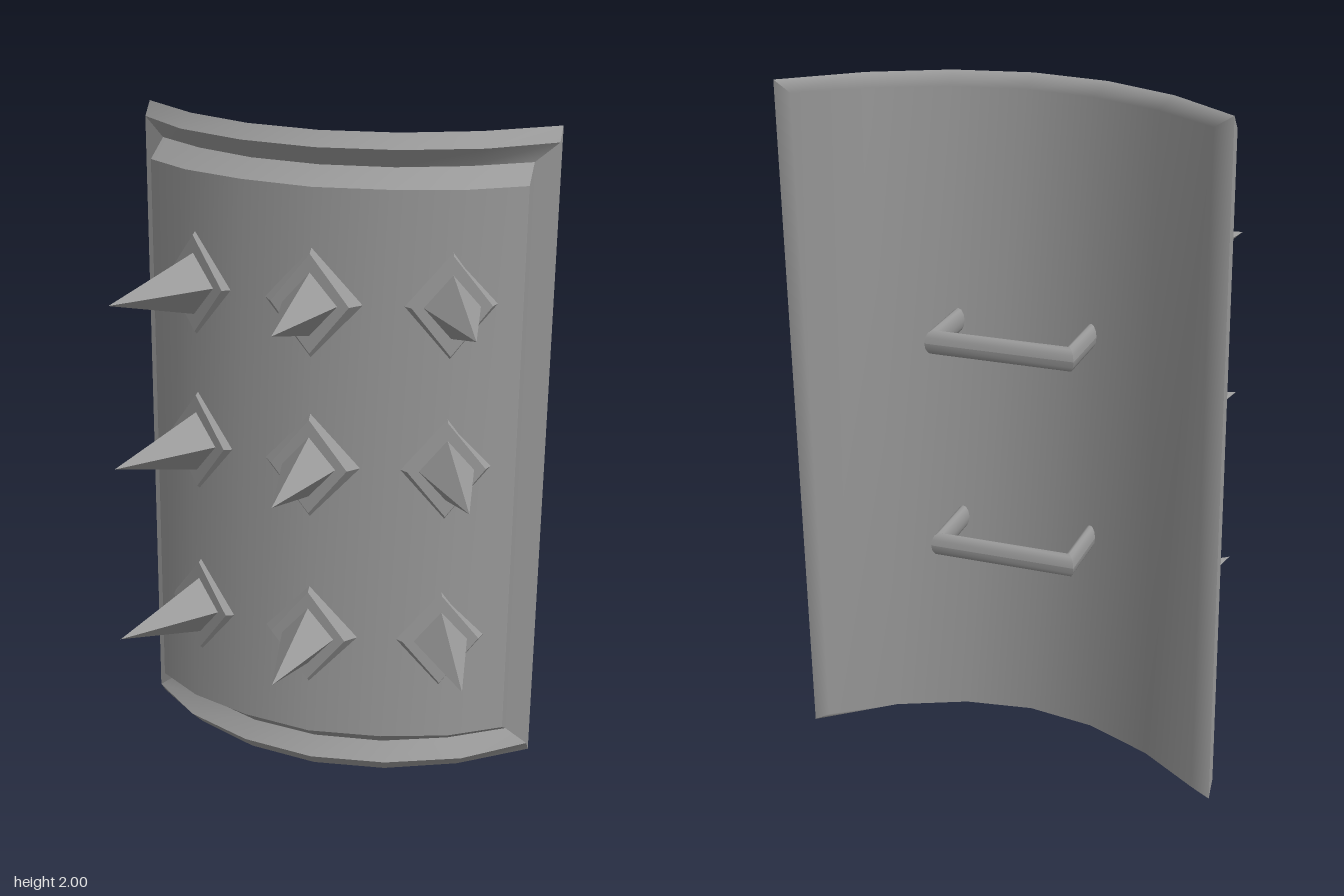
import * as THREE from 'three';

const mat = new THREE.MeshStandardMaterial({ color: 0x999999 });
const flat = new THREE.MeshStandardMaterial({ color: 0x999999, flatShading: true });

function add(parent, name, geometry, material) {
  const mesh = new THREE.Mesh(geometry, material);
  mesh.name = name;
  parent.add(mesh);
}

// Smooth surface through rows of points
function surface(...rows) {
  const n = rows[0].length, index = [];
  for (let r = 0; r < rows.length - 1; r++) {
    for (let i = 0; i < n - 1; i++) {
      const a = r * n + i, b = a + n;
      index.push(a, a + 1, b + 1, a, b + 1, b);
    }
  }
  const g = new THREE.BufferGeometry();
  g.setAttribute('position', new THREE.Float32BufferAttribute(rows.flat(2), 3));
  g.setIndex(index);
  g.computeVertexNormals();
  return g;
}

// Contours of the shield from back to front: half curve (x, z), bottom and top
const back = { half: [[0, -0.12], [0.2, -0.15], [0.4, -0.235], [0.575, -0.355]], y0: 0.035, y1: 1.965 };
const layers = [
  { half: [[0, -0.055], [0.22, -0.09], [0.43, -0.19], [0.625, -0.35]], y0: 0.004, y1: 1.996 },
  { half: [[0, -0.018], [0.23, -0.055], [0.45, -0.155], [0.625, -0.313]], y0: 0.045, y1: 1.955 },
  { half: [[0, -0.06], [0.21, -0.09], [0.4, -0.175], [0.56, -0.29]], y0: 0.1, y1: 1.9 },
  { half: [[0, 0.005], [0.22, -0.03], [0.415, -0.1], [0.565, -0.205]], y0: 0.15, y1: 1.85 },
];

function row(layer, y) {
  const right = layer.half.map(([x, z]) => [x, y, z]);
  const left = layer.half.slice(1).reverse().map(([x, z]) => [-x, y, z]);
  return [...left, ...right];
}

function makeShield() {
  const shield = new THREE.Group();
  shield.name = 'shield';
  const rim = layers[0], panel = layers[3];

  // Back, rounded over softly to the rim on all four sides
  const top = row(rim, rim.y1), bottom = row(rim, rim.y0);
  const framed = (edge, inner) => [edge[0], ...inner, edge[6]];
  add(shield, 'backSurface', surface(
    framed(top, top), framed(top, row(back, back.y1)),
    framed(bottom, row(back, back.y0)), framed(bottom, bottom)), mat);
  add(shield, 'frontPanel', surface(row(panel, panel.y0), row(panel, panel.y1)), mat);

  // Mitred frame bands between neighbouring contours
  ['rimChamfer', 'rimGroove', 'panelBevel'].forEach((name, k) => {
    const o = layers[k], i = layers[k + 1];
    const ob = row(o, o.y0), ot = row(o, o.y1), ib = row(i, i.y0), it = row(i, i.y1);
    add(shield, name + 'Top', surface(it, ot), mat);
    add(shield, name + 'Bottom', surface(ob, ib), mat);
    add(shield, name + 'Left', surface([ib[6], ob[6]], [it[6], ot[6]]), mat);
    add(shield, name + 'Right', surface([ob[0], ib[0]], [ot[0], it[0]]), mat);
  });
  return shield;
}

// Four-sided spike on a bevelled diamond plate
function makeStud() {
  const stud = new THREE.Group();
  stud.name = 'stud';
  const plate = new THREE.CylinderGeometry(0.122, 0.17, 0.06, 4).rotateX(Math.PI / 2);
  plate.scale(0.95, 1.19, 1).translate(0, 0, -0.03);
  add(stud, 'studPlate', plate, flat);
  const spike = new THREE.ConeGeometry(0.085, 0.335, 4).rotateX(Math.PI / 2);
  spike.scale(0.97, 1.1, 1).translate(0, 0, 0.1625);
  add(stud, 'spike', spike, flat);
  return stud;
}

// U-shaped grip with mitred corners: oval section swept along three legs
function makeHandle() {
  const handle = new THREE.Group();
  handle.name = 'handle';
  const rings = [[], [], [], []];
  for (let k = 0; k <= 12; k++) {
    const t = (k / 12) * Math.PI * 2;
    const u = 0.018 * Math.cos(t), v = 0.035 * Math.sin(t);
    rings[0].push([-0.197 - u, v, -0.1]);
    rings[1].push([-0.197 - u, v, -0.335 - u]);
    rings[2].push([0.197 + u, v, -0.335 - u]);
    rings[3].push([0.197 + u, v, -0.1]);
  }
  ['handleLegRight', 'handleBar', 'handleLegLeft'].forEach((name, i) =>
    add(handle, name, surface(rings[i], rings[i + 1]), mat));
  return handle;
}

export function createModel() {
  const model = new THREE.Group();
  model.name = 'spikedShield';
  const body = new THREE.Group();
  body.name = 'body';
  model.add(body);
  body.add(makeShield());

  // Three rows of three studs, the outer ones following the curve
  for (const y of [1.52, 1.03, 0.483]) {
    for (const side of [-1, 0, 1]) {
      const stud = makeStud();
      stud.position.set(side * 0.388, y, side ? -0.08 : 0.02);
      stud.rotation.y = side * 0.43;
      body.add(stud);
    }
  }

  // Two grips on the back
  for (const y of [1.3, 0.68]) {
    const handle = makeHandle();
    handle.position.y = y;
    body.add(handle);
  }

  // Slight sideways lean
  body.rotation.z = -0.006;
  body.position.x = -0.008;
  return model;
}
